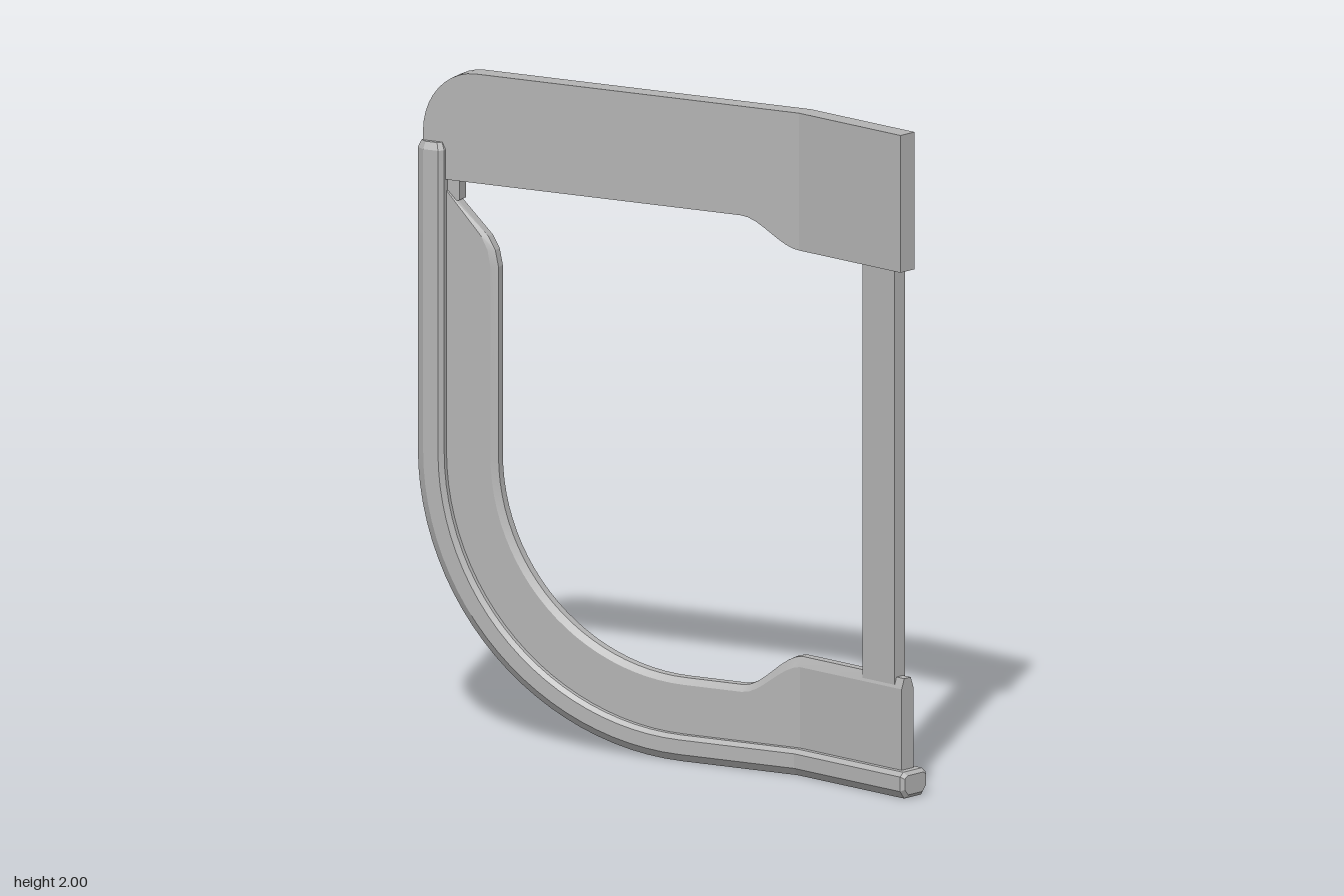
import * as THREE from 'three';
import { toCreasedNormals } from 'three/addons/utils/BufferGeometryUtils.js';

// The whole frame is a flat outline in (z, y) folded along one vertical bend.
const BEND = { x: 0.255, z: 0.335 };
const BACK = Math.atan(0.577), FRONT = Math.atan(0.253);

// Places a point of the flat outline, t being the offset through the thickness
function fold(z, y, t) {
  const d = z - BEND.z;
  const side = d > 0 ? FRONT : BACK;
  const onBend = Math.abs(d) < 1e-4;
  const a = onBend ? (FRONT + BACK) / 2 : side;
  const s = onBend ? t / Math.cos((BACK - FRONT) / 2) : t;
  return [BEND.x + d * Math.tan(side) + Math.cos(a) * s, y, z - Math.sin(a) * s];
}

// Lofts a section of [u, t] through stations [outerZ, outerY, innerZ, innerY, thicknessScale]
function loft(stations, section) {
  const pos = [], idx = [], n = section.length;
  for (const [az, ay, bz, by, k = 1] of stations) {
    for (const [u, t] of section) {
      pos.push(...fold(az + (bz - az) * u, ay + (by - ay) * u, t * k));
    }
  }
  const last = (stations.length - 1) * n;
  for (let s = 0; s < last; s += n) {
    for (let i = 0; i < n; i++) {
      const j = (i + 1) % n;
      idx.push(s + i, s + n + i, s + n + j, s + i, s + n + j, s + j);
    }
  }
  for (let i = 1; i < n - 1; i++) {
    idx.push(0, i, i + 1, last, last + i + 1, last + i);
  }
  const g = new THREE.BufferGeometry();
  g.setAttribute('position', new THREE.Float32BufferAttribute(pos, 3));
  g.setIndex(idx);
  return toCreasedNormals(g, 0.2);
}

const slab = (h) => [[0, -h], [0, h], [1, h], [1, -h]];
const smooth = (f) => f * f * (3 - 2 * f);

export function createModel() {
  const group = new THREE.Group();
  const grey = new THREE.MeshStandardMaterial({ color: 0xb4b4b4 });
  grey.name = 'grey';
  const add = (name, stations, section) => {
    const mesh = new THREE.Mesh(loft(stations, section), grey);
    mesh.name = name;
    group.add(mesh);
  };

  // Header: deep at the front, shallower behind, with a rounded rear corner
  const header = [[0.735, 1.585, 0.735, 2], [BEND.z, 1.585, BEND.z, 2]];
  for (let i = 1; i <= 8; i++) {
    const z = BEND.z - 0.17 * i / 8;
    header.push([z, 1.585 + 0.085 * smooth(i / 8), z, 2]);
  }
  for (let i = 0; i <= 10; i++) {
    const a = i / 10 * Math.PI / 2;
    const z = -0.595 - 0.15 * Math.sin(a);
    header.push([z, 1.67, z, 1.81 + 0.19 * Math.cos(a)]);
  }
  add('header', header, slab(0.03));

  // Small tab joining the header to the upper end of the rim
  add('headerTab', [[-0.645, 1.61, -0.645, 1.69], [-0.73, 1.58, -0.73, 1.69]], slab(0.02));

  // Front strut
  add('strut', [[0.705, 0.3, 0.705, 1.62], [0.58, 0.3, 0.58, 1.62]], slab(0.022));

  // Rim: flat band along the bottom, round the rear curve and up the back
  const rim = [[0.735, 0.05, 0.735, 0.355], [BEND.z, 0.05, BEND.z, 0.355]];
  for (let i = 1; i <= 8; i++) {
    const z = BEND.z - 0.17 * i / 8;
    rim.push([z, 0.05, z, 0.355 - 0.107 * smooth(i / 8)]);
  }
  for (let i = 0; i <= 24; i++) {
    const a = i / 24 * Math.PI / 2;
    const s = Math.sin(a), c = Math.cos(a);
    rim.push([-0.72 * s, 0.85 - 0.8 * c, -0.536 * s, 0.85 - 0.602 * c]);
  }
  rim.push([-0.72, 1.42, -0.536, 1.42], [-0.72, 1.47, -0.545, 1.47],
    [-0.72, 1.51, -0.565, 1.51], [-0.72, 1.635, -0.675, 1.635]);
  add('rim', rim, [[0, -0.025], [0, 0.025], [0.9, 0.025], [1, 0.014], [1, -0.014], [0.9, -0.025]]);

  // Bumper: thick chamfered rail wrapped around the rim's outer edge
  const bumper = [[0.766, 0.012, 0.766, 0.07, 0.85], [0.755, 0, 0.755, 0.08], [BEND.z, 0, BEND.z, 0.08]];
  for (let i = 0; i <= 24; i++) {
    const a = i / 24 * Math.PI / 2;
    const s = Math.sin(a), c = Math.cos(a);
    bumper.push([-0.757 * s, 0.85 - 0.85 * c, -0.68 * s, 0.85 - 0.77 * c]);
  }
  bumper.push([-0.757, 1.76, -0.68, 1.76], [-0.75, 1.782, -0.69, 1.782, 0.8]);
  add('bumper', bumper, [[0, -0.036], [0, 0.036], [0.3, 0.054], [0.85, 0.054],
    [1, 0.04], [1, -0.04], [0.85, -0.054], [0.3, -0.054]]);

  return group;
}
